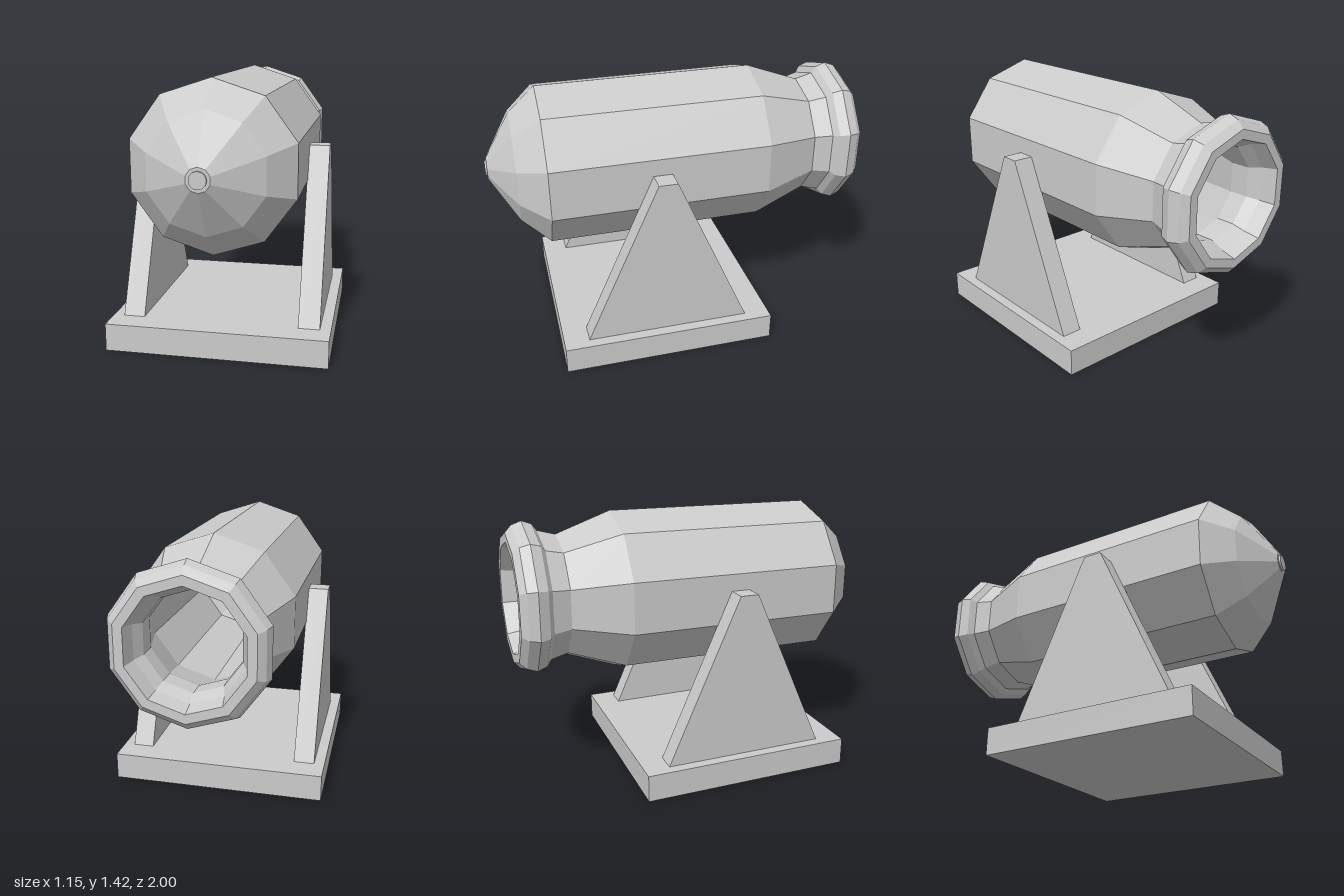
import * as THREE from 'three';

const material = new THREE.MeshStandardMaterial({ color: 0xcccccc, flatShading: true });

function addMesh(parent, name, geometry) {
  const mesh = new THREE.Mesh(geometry, material);
  mesh.name = name;
  parent.add(mesh);
  return mesh;
}

export function createModel() {
  const model = new THREE.Group();
  model.name = 'cannon';

  // Base plate
  addMesh(model, 'base', new THREE.BoxGeometry(1.154, 0.145, 1.155)).position.set(0, 0.0725, 0.1275);

  // Two tapered side supports, outlined in (-z, y) and extruded along x
  const outline = new THREE.Shape([
    [-0.57, 0.145], [0.315, 0.145], [-0.08, 1.03], [-0.18, 1.03],
  ].map(([s, y]) => new THREE.Vector2(s, y)));
  for (const [name, x] of [['leftSupport', 0.408], ['rightSupport', -0.52]]) {
    const support = new THREE.ExtrudeGeometry(outline, { depth: 0.112, bevelEnabled: false });
    support.rotateY(Math.PI / 2);
    addMesh(model, name, support).position.x = x;
  }

  // Barrel, very slightly raised at the muzzle
  const barrel = new THREE.Group();
  barrel.name = 'barrel';
  barrel.position.y = 0.987;
  barrel.rotation.x = 0.006;
  model.add(barrel);

  // Profile as [radius, z]: up the bore, round the muzzle lip, along the outside to the nose
  const profile = [
    [0, 0.6], [0.34, 0.5], [0.34, -0.45], [0.25, -0.76], [0.25, -0.86], [0.28, -0.92], [0.3, -1],
    [0.348, -1], [0.385, -0.967], [0.404, -0.915], [0.385, -0.863], [0.35, -0.838],
    [0.325, -0.745], [0.433, -0.452], [0.433, 0.705], [0.3, 0.85], [0.06, 0.99], [0, 0.99],
  ].map(([r, z]) => new THREE.Vector2(r, z));
  addMesh(barrel, 'barrelBody', new THREE.LatheGeometry(profile, 10).rotateX(Math.PI / 2));

  // Small round stud on the nose
  const stud = new THREE.CylinderGeometry(0.042, 0.042, 0.03, 20).rotateX(Math.PI / 2);
  addMesh(barrel, 'noseStud', stud).position.z = 0.985;

  return model;
}
